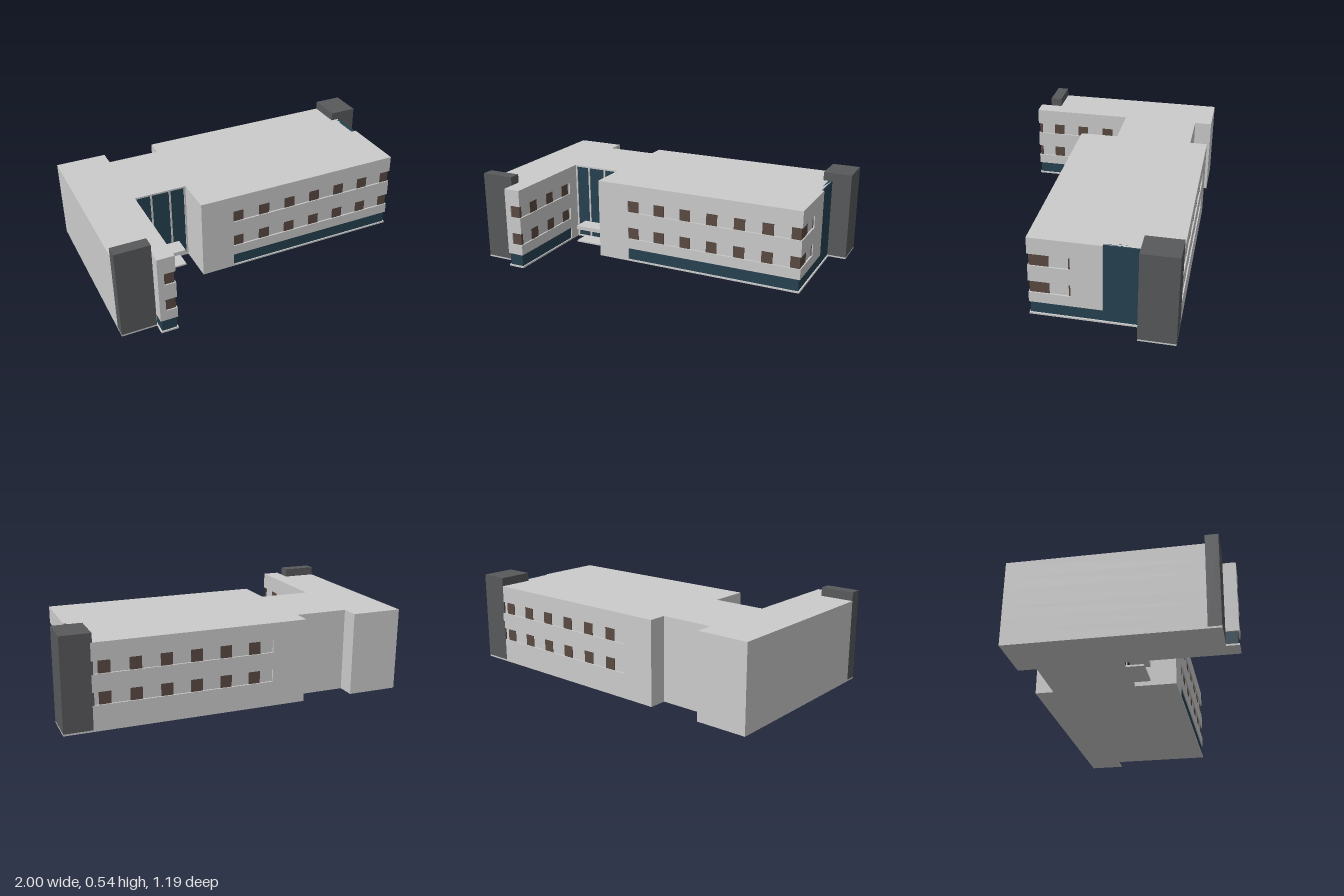
import * as THREE from 'three';

const mat = (color, opts = {}) => new THREE.MeshStandardMaterial({ color, ...opts });
const wall = mat(0xcccccc);
const glass = mat(0x264150);
const brown = mat(0x5a4a42);
const dark = mat(0x58595b);

const BACK = -0.595, FRONT = 0.215, EAST = 0.893, WING = 0.595, D = 0.01;

// Plan outline (x, z) of one storey slice: 'solid', 'band' (window recesses) or 'ground' (glazed recess)
function outline(kind) {
  const p = [[-1, BACK], [-0.7, BACK], [-0.7, -0.49], [-0.39, -0.49], [-0.39, BACK]];
  if (kind === 'band') p.push([-0.19, BACK], [-0.19, BACK + D], [0.84, BACK + D]);
  else p.push([0.84, BACK]);
  p.push([0.84, -0.39], [0.878, -0.39]);
  if (kind === 'solid') p.push([0.878, -0.187], [EAST, -0.187], [EAST, FRONT]);
  if (kind === 'band') p.push([0.878, -0.187], [EAST, -0.187], [EAST, -0.015], [EAST - D, -0.015]);
  if (kind === 'ground') p.push([0.878, FRONT - D], [-0.19, FRONT - D], [-0.19, FRONT]);
  if (kind === 'band') p.push([EAST - D, FRONT - D], [-0.19, FRONT - D], [-0.19, FRONT]);
  p.push([-0.39, FRONT], [-0.39, -0.03], [-0.7, -0.03]);
  if (kind === 'solid') p.push([-0.7, WING], [-0.8, WING]);
  else {
    p.push([-0.7, 0.06], [-0.7 - D, 0.06], [-0.7 - D, WING - D]);
    if (kind === 'band') p.push([-0.765, WING - D], [-0.765, WING], [-0.8, WING]);
    else p.push([-0.79, WING - D], [-0.79, 0.5]);
  }
  p.push([-0.8, 0.5], [-0.8, 0.455], [-1, 0.455]);
  return p;
}

const basePlan = [[-1, BACK], [-0.7, BACK], [-0.7, -0.49], [-0.39, -0.49], [-0.39, BACK], [1, BACK],
  [1, -0.39], [EAST, -0.39], [EAST, FRONT], [-0.39, FRONT], [-0.39, -0.02], [-0.445, -0.02], [-0.445, 0.08],
  [-0.645, 0.08], [-0.645, -0.02], [-0.7, -0.02], [-0.7, WING], [-0.8, WING], [-0.8, 0.525], [-1, 0.525]];

export function createModel() {
  const root = new THREE.Group();
  root.name = 'officeBuilding';

  const slab = (name, points, y0, y1) => {
    const shape = new THREE.Shape(points.map(([x, z]) => new THREE.Vector2(x, -z)));
    const geo = new THREE.ExtrudeGeometry(shape, { depth: y1 - y0, bevelEnabled: false });
    geo.rotateX(-Math.PI / 2).translate(0, y0, 0);
    const mesh = new THREE.Mesh(geo, wall);
    mesh.name = name;
    root.add(mesh);
  };
  const box = (name, material, x0, x1, y0, y1, z0, z1) => {
    const mesh = new THREE.Mesh(new THREE.BoxGeometry(x1 - x0, y1 - y0, z1 - z0), material);
    mesh.position.set((x0 + x1) / 2, (y0 + y1) / 2, (z0 + z1) / 2);
    mesh.name = name;
    root.add(mesh);
  };

  // Plinth and storey slices
  slab('plinth', basePlan, 0, 0.01);
  slab('groundStorey', outline('ground'), 0.01, 0.082);
  slab('lowerWall', outline('solid'), 0.082, 0.145);
  slab('lowerWindowBand', outline('band'), 0.145, 0.217);
  slab('middleWall', outline('solid'), 0.217, 0.315);
  slab('upperWindowBand', outline('band'), 0.315, 0.387);
  slab('parapetWall', outline('solid'), 0.387, 0.486);

  // Brown panels set in the window bands
  const W = 0.067, T = 0.003;
  for (const y of [0.145, 0.315]) {
    const top = y + 0.072;
    for (let i = 0; i < 7; i++) {
      const x = -0.19 + i * 0.17;
      box('frontPanel', brown, x, Math.min(x + W, EAST - D), y, top, 0.19, FRONT - D + T);
    }
    for (let i = 0; i < 6; i++) {
      const x = -0.113 + i * 0.17;
      box('backPanel', brown, x, x + W, y, top, BACK + D - T, -0.57);
    }
    box('sidePanel', brown, 0.87, EAST - D + T, y, top, 0.1, FRONT - D + T);
    box('sideEndPanel', brown, 0.87, EAST - D + T, y, top, -0.015, -0.005);
    for (let i = 0; i < 3; i++) {
      const z = 0.075 + i * 0.17;
      box('wingPanel', brown, -0.73, -0.7 - D + T, y, top, z, z + W);
    }
    box('wingFrontPanel', brown, -0.765, -0.7 - D + T, y, top, 0.57, WING - D + T);
  }

  // Ground floor glazing
  const frontJoints = [-0.19, -0.125, 0.08, 0.285, 0.49, 0.695, 0.83, 0.884];
  for (let i = 0; i < frontJoints.length - 1; i++) {
    box('frontGlass', glass, frontJoints[i], frontJoints[i + 1], 0.01, 0.082, 0.19, FRONT - D + T);
  }
  box('sideGlass', glass, 0.86, 0.884, 0.01, 0.082, -0.187, FRONT - D + T);
  box('stairGlass', glass, 0.86, 0.885, 0.01, 0.486, -0.39, -0.187);
  const wingJoints = [0.06, 0.18, 0.385, 0.45, WING - D];
  for (let i = 0; i < wingJoints.length - 1; i++) {
    box('wingGlass', glass, -0.73, -0.7 - D + T, 0.01, 0.082, wingJoints[i], wingJoints[i + 1]);
  }
  box('wingFrontGlass', glass, -0.79 - T, -0.7 - D + T, 0.01, 0.082, 0.51, WING - D + T);

  // Entrance: tall glazing, frame, canopy
  box('entranceGlass', glass, -0.69, -0.4, 0.01, 0.476, -0.05, -0.026);
  for (const x of [-0.695, -0.602, -0.488, -0.395]) {
    box('entranceMullion', wall, x - 0.005, x + 0.005, 0.01, 0.486, -0.05, -0.02);
  }
  box('entranceHead', wall, -0.7, -0.39, 0.476, 0.486, -0.05, -0.02);
  box('canopy', wall, -0.645, -0.445, 0.086, 0.11, -0.03, 0.08);

  // Dark corner towers
  box('rightTower', dark, 0.83, 1, 0.01, 0.537, BACK, -0.39);
  box('leftTower', dark, -1, -0.8, 0.01, 0.537, 0.455, 0.525);
  return root;
}
